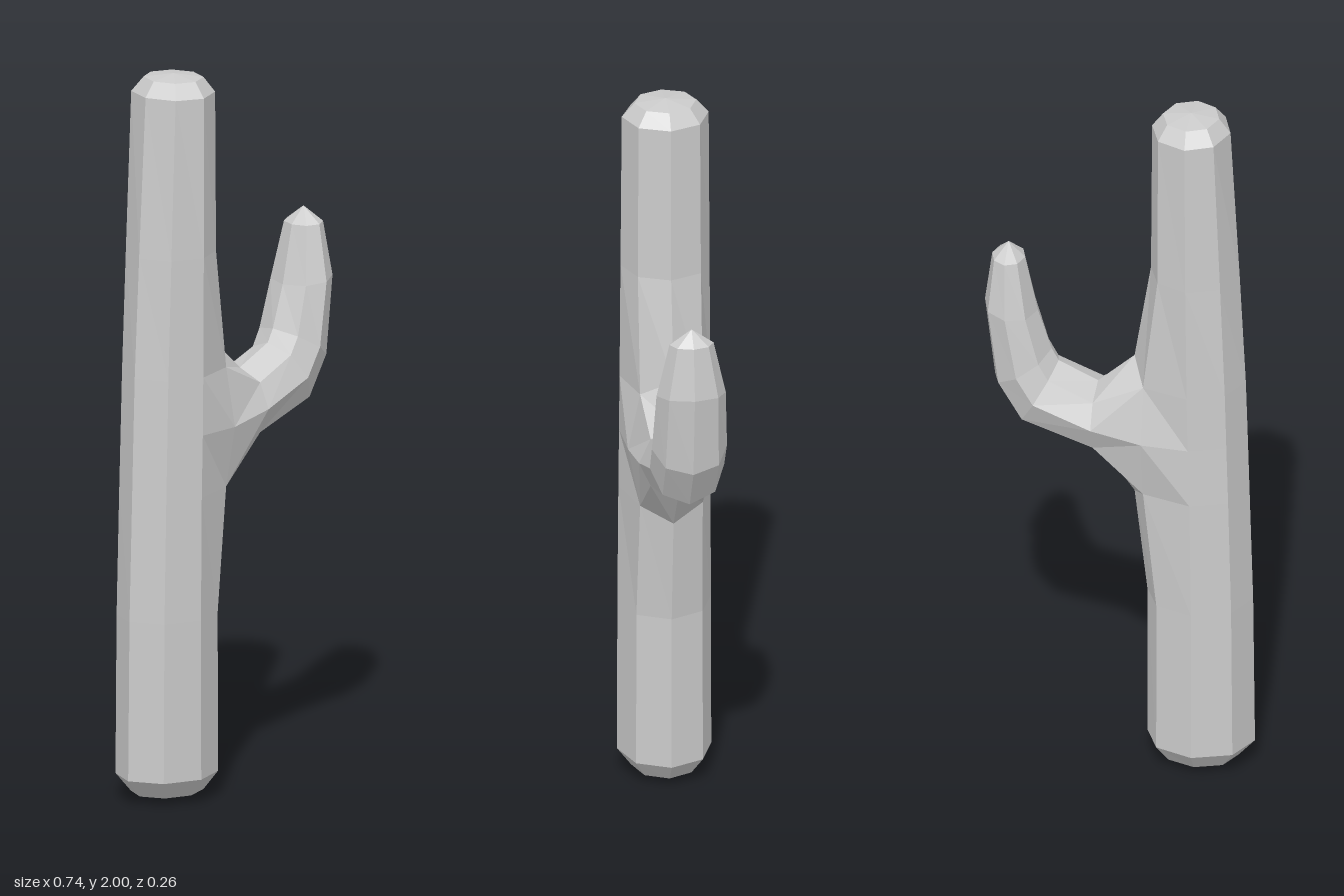
import * as THREE from 'three';

const SIDES = 8;

// Eight points around a trunk level: 0 = +x, 2 = +z, 4 = -x, 6 = -z
function trunkRing([y, left, mid, right, depth]) {
  return Array.from({ length: SIDES }, (_, k) => {
    const c = Math.cos(k * Math.PI / 4), s = Math.sin(k * Math.PI / 4);
    return [mid + c * (c > 0 ? right - mid : mid - left), y, s * depth];
  });
}

// Eight points around an arm section: 0 = outer/lower edge, 4 = inner/upper edge
function armRing([ox, oy, ix, iy, depth]) {
  return Array.from({ length: SIDES }, (_, k) => {
    const t = (1 - Math.cos(k * Math.PI / 4)) / 2;
    return [ox + (ix - ox) * t, oy + (iy - oy) * t, Math.sin(k * Math.PI / 4) * depth];
  });
}

// Skin the rings, with optional end points and an optional hole
function loft(name, rings, { start, end, skip = () => false }) {
  const pos = [];
  const tri = (a, b, c) => pos.push(...a, ...b, ...c);
  const last = rings[rings.length - 1];
  for (let k = 0; k < SIDES; k++) {
    const n = (k + 1) % SIDES;
    for (let i = 0; i < rings.length - 1; i++) {
      if (skip(i, k)) continue;
      const [a, b, c, d] = [rings[i][k], rings[i][n], rings[i + 1][n], rings[i + 1][k]];
      tri(a, d, c);
      tri(a, c, b);
    }
    if (start) tri(start, rings[0][k], rings[0][n]);
    if (end) tri(end, last[n], last[k]);
  }
  const geometry = new THREE.BufferGeometry();
  geometry.setAttribute('position', new THREE.Float32BufferAttribute(pos, 3));
  geometry.computeVertexNormals();
  const mesh = new THREE.Mesh(geometry, new THREE.MeshStandardMaterial({ color: 0xcccccc, flatShading: true }));
  mesh.name = name;
  return mesh;
}

export function createModel() {
  const group = new THREE.Group();
  group.name = 'cactus';

  // Trunk levels: y, left x, middle x, right x, half depth
  const trunk = [
    [0.02, -0.325, -0.22, -0.115, 0.09],
    [0.07, -0.37, -0.22, -0.075, 0.128],
    [0.51, -0.365, -0.22, -0.075, 0.127],
    [0.85, -0.355, -0.215, -0.04, 0.125],
    [1.02, -0.35, -0.21, -0.04, 0.124],
    [1.18, -0.345, -0.207, -0.04, 0.123],
    [1.51, -0.328, -0.203, -0.085, 0.121],
    [1.95, -0.303, -0.2, -0.088, 0.118],
    [1.99, -0.272, -0.197, -0.118, 0.084],
  ].map(trunkRing);

  // Pull the trunk out around the opening where the arm grows
  const [low, mid, high] = [trunk[3], trunk[4], trunk[5]];
  low[0] = [-0.04, 0.81, 0];
  high[0] = [-0.04, 1.23, 0];
  for (const [k, s] of [[1, 1], [7, -1]]) {
    low[k] = [-0.08, 0.85, s * 0.085];
    mid[k] = [-0.08, 1.02, s * 0.118];
    high[k] = [-0.08, 1.18, s * 0.085];
  }
  group.add(loft('trunk', trunk, {
    start: [-0.22, 0, 0],
    end: [-0.195, 2, 0],
    skip: (i, k) => (i === 3 || i === 4) && (k === 0 || k === 7),
  }));

  // Arm: starts on the opening's rim, then bends upwards
  const rim = [low[0], low[1], mid[1], high[1], high[0], high[7], mid[7], low[7]];
  const arm = [
    [0.06, 0.945, 0.06, 1.14, 0.108],
    [0.27, 1.01, 0.168, 1.19, 0.101],
    [0.342, 1.13, 0.187, 1.225, 0.102],
    [0.37, 1.36, 0.225, 1.34, 0.094],
    [0.35, 1.505, 0.26, 1.5, 0.06],
  ].map(armRing);
  group.add(loft('arm', [rim, ...arm], { end: [0.305, 1.545, 0] }));

  return group;
}
